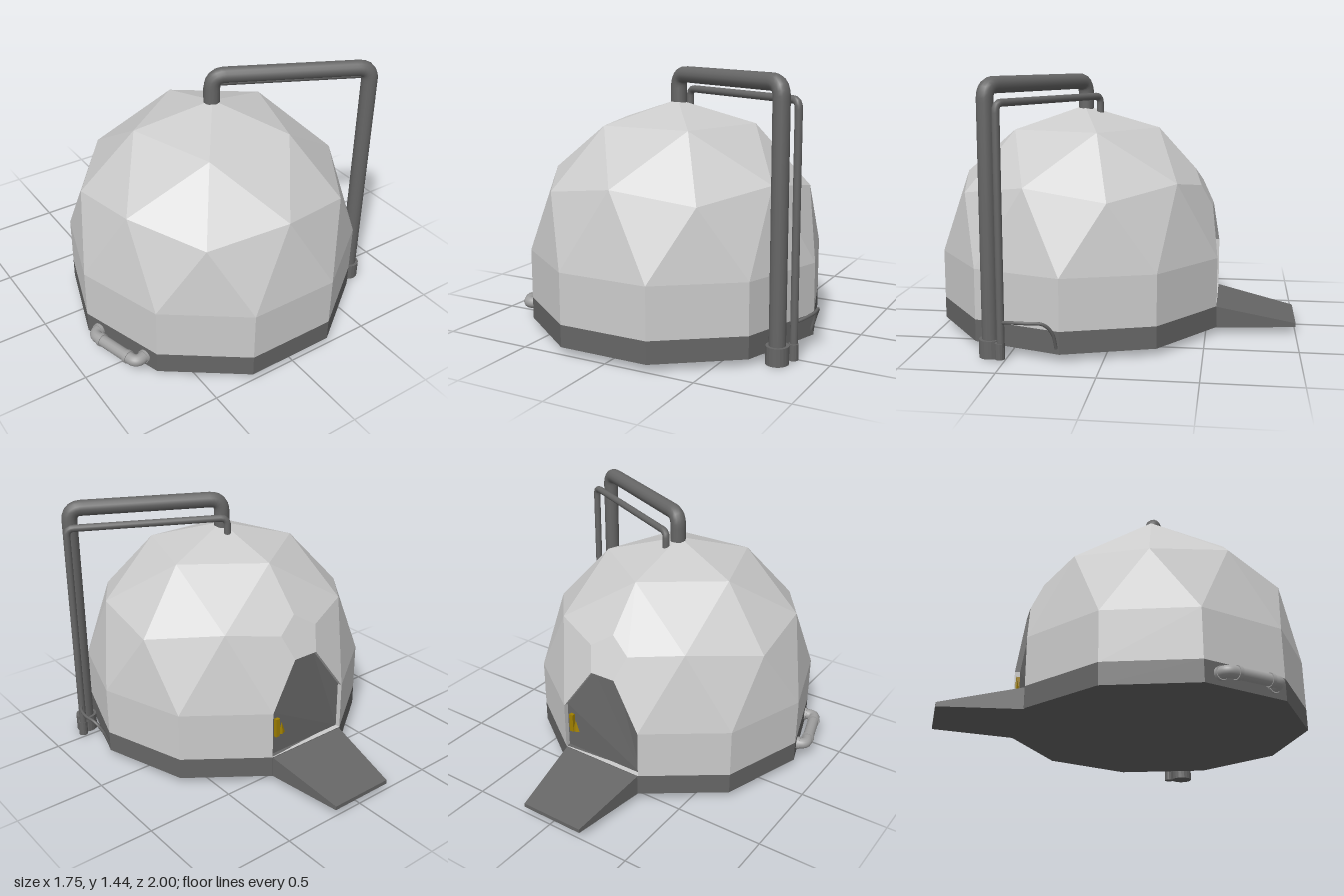
import * as THREE from 'three';

const CX = -0.013, CZ = 0.22, R = 0.82, EQ = 0.435, WALL = 0.16, BASE = 0.04;
const mat = (color, flatShading = false) =>
  new THREE.MeshStandardMaterial({ color, flatShading, side: THREE.DoubleSide });
const light = mat(0xcccccc, true), dark = mat(0x666666, true), pipeMat = mat(0x666666);
const midPipe = mat(0xa0a0a0), yellow = mat(0xa08000, true);
const V = (x, y, z) => new THREE.Vector3(x, y, z);

function add(parent, name, geometry, material, x = 0, y = 0, z = 0) {
  const m = new THREE.Mesh(geometry, material);
  m.name = name;
  m.position.set(x, y, z);
  parent.add(m);
  return m;
}

// Flat polygons as triangle fans, turned to face away from the given centre
function polygons(faces, centre) {
  const pos = [];
  for (const f of faces) {
    for (let i = 1; i < f.length - 1; i++) {
      const [a, b, c] = [f[0], f[i], f[i + 1]];
      const n = b.clone().sub(a).cross(c.clone().sub(a));
      const order = n.dot(a.clone().sub(centre)) > 0 ? [a, b, c] : [a, c, b];
      for (const p of order) pos.push(p.x, p.y, p.z);
    }
  }
  const g = new THREE.BufferGeometry();
  g.setAttribute('position', new THREE.Float32BufferAttribute(pos, 3));
  g.computeVertexNormals();
  return g;
}

// Pipe through points with rounded bends
function pipe(points, r, bend, sides = 14) {
  const path = new THREE.CurvePath();
  let from = points[0];
  for (let i = 1; i < points.length - 1; i++) {
    const p = points[i];
    const a = p.clone().add(points[i - 1].clone().sub(p).setLength(bend));
    const b = p.clone().add(points[i + 1].clone().sub(p).setLength(bend));
    path.add(new THREE.LineCurve3(from, a));
    path.add(new THREE.QuadraticBezierCurve3(a, p, b));
    from = b;
  }
  path.add(new THREE.LineCurve3(from, points[points.length - 1]));
  return new THREE.TubeGeometry(path, 120, r, sides);
}

// Point on a ring around the dome axis; angle in degrees from the back
function ring(deg, radius, y) {
  const a = THREE.MathUtils.degToRad(deg);
  return V(CX + Math.sin(a) * radius, y, CZ - Math.cos(a) * radius);
}

export function createModel() {
  const model = new THREE.Group();
  model.name = 'domeShelter';

  // Geodesic dome: apex, upper ring, corner ring, mid ring and equator
  const apex = V(CX, EQ + R, CZ);
  const T = (i) => ring(72 * i, 0.526 * R, EQ + 0.851 * R);
  const A = (i) => ring(72 * i, 0.894 * R, EQ + 0.447 * R);
  const M = (i) => ring(72 * i + 36, 0.851 * R, EQ + 0.526 * R);
  const E = (deg, y = EQ) => ring(deg, R, y);
  const doorTip = A(0), centre = V(CX, 0.3, CZ);
  const cut = (p) => p.clone().lerp(doorTip, 0.7);

  // The corner above the door is sliced off, so triangles there become quads
  const trim = (tri) => tri.flatMap((p, i) => (p.distanceTo(doorTip) < 1e-5
    ? [cut(tri[(i + 2) % 3]), cut(tri[(i + 1) % 3])] : [p]));
  const faces = [];
  for (let i = 0; i < 5; i++) {
    const e = 72 * i;
    faces.push([apex, T(i), T(i + 1)], [T(i), M(i), T(i + 1)],
      [T(i), A(i), M(i)], [T(i + 1), M(i), A(i + 1)],
      [A(i), E(e + 18), M(i)], [M(i), E(e + 18), E(e + 54)], [M(i), E(e + 54), A(i + 1)]);
    if (i > 0) faces.push([A(i), E(e - 18), E(e + 18)]);
  }
  const panels = faces.map(trim);
  panels.push([T(0), M(0), E(18), E(-18), M(4)].map(cut));
  // Upright walls, open at the door
  for (let k = 1; k < 10; k++) {
    const a = 36 * k - 18, b = a + 36;
    panels.push([E(a), E(b), E(b, WALL), E(a, WALL)]);
  }
  add(model, 'dome', polygons(panels, centre), light);

  // Base plinth
  const base = new THREE.CylinderGeometry(R, R, WALL - BASE, 10, 1, false, Math.PI / 10);
  add(model, 'base', base, dark, CX, (WALL + BASE) / 2, CZ);

  // Recessed door and its jambs
  const outline = [E(-18, WALL), E(-18), cut(E(-18)), cut(E(18)), E(18), E(18, WALL)];
  const inner = outline.map((p) => p.clone().add(V(0, 0, 0.03)));
  const jambs = outline.map((p, i) => {
    const j = (i + 1) % outline.length;
    return [p, outline[j], inner[j], inner[i]];
  });
  add(model, 'doorFrame', polygons(jambs, V(CX, 0.4, -0.54)), light);
  add(model, 'door', polygons([inner], centre), dark);

  // Door handle
  const handle = new THREE.Group();
  handle.name = 'doorHandle';
  handle.position.set(0.2, 0.33, -0.545);
  add(handle, 'handlePlate', new THREE.BoxGeometry(0.025, 0.11, 0.02), yellow);
  const lever = add(handle, 'handleLever', new THREE.ConeGeometry(0.025, 0.07, 4), yellow, -0.03, -0.01, -0.004);
  lever.scale.z = 0.4;
  model.add(handle);

  // Entrance ramp, a tapered wedge
  const section = (w, top, z) => [V(CX - w, BASE - 0.003, z), V(CX + w, BASE - 0.003, z),
    V(CX + w, top, z), V(CX - w, top, z)];
  const near = section(0.25, 0.157, -0.555), far = section(0.19, 0.06, -1);
  const sides = near.map((p, i) => [p, near[(i + 1) % 4], far[(i + 1) % 4], far[i]]);
  add(model, 'ramp', polygons([near, far, ...sides], V(CX, 0.06, -0.75)), dark);

  // Large and small vent pipes with foot collars
  add(model, 'largePipe', pipe([V(-0.01, 1.18, 0.21), V(-0.01, 1.395, 0.21),
    V(0.755, 1.395, 0.59), V(0.755, 0.01, 0.59)], 0.044, 0.07), pipeMat);
  add(model, 'largePipeCollar', new THREE.CylinderGeometry(0.06, 0.06, 0.095, 20), dark, 0.755, 0.0475, 0.59);
  add(model, 'smallPipe', pipe([V(0.015, 1.16, 0.125), V(0.015, 1.31, 0.125),
    V(0.815, 1.31, 0.52), V(0.815, 0.01, 0.52)], 0.02, 0.04), pipeMat);
  add(model, 'smallPipeCollar', new THREE.CylinderGeometry(0.026, 0.026, 0.085, 14), dark, 0.815, 0.05, 0.525);

  // Thin hose from the small pipe to the base
  const hose = new THREE.CatmullRomCurve3([V(0.815, 0.2, 0.52), V(0.85, 0.212, 0.46), V(0.868, 0.217, 0.38),
    V(0.855, 0.21, 0.29), V(0.83, 0.16, 0.25), V(0.8, 0.07, 0.235)]);
  add(model, 'hose', new THREE.TubeGeometry(hose, 40, 0.009, 8), pipeMat);

  // Side loop pipe low on the wall, with collars
  const loop = [V(-0.77, 0.1, 0.295), V(-0.855, 0.1, 0.325), V(-0.765, 0.1, 0.64), V(-0.68, 0.1, 0.615)];
  add(model, 'loopPipe', pipe(loop, 0.032, 0.04), midPipe);
  const up = V(0, 1, 0), along = loop[2].clone().sub(loop[1]);
  const collar = (p, dir) => {
    const m = add(model, 'loopPipeCollar', new THREE.CylinderGeometry(0.037, 0.037, 0.02, 16), midPipe);
    m.position.copy(p);
    m.quaternion.setFromUnitVectors(up, dir.clone().normalize());
  };
  for (const t of [0.2, 0.8]) collar(loop[1].clone().lerp(loop[2], t), along);
  collar(V(-0.812, 0.1, 0.31), loop[1].clone().sub(loop[0]));
  collar(V(-0.705, 0.1, 0.622), loop[3].clone().sub(loop[2]));

  return model;
}
